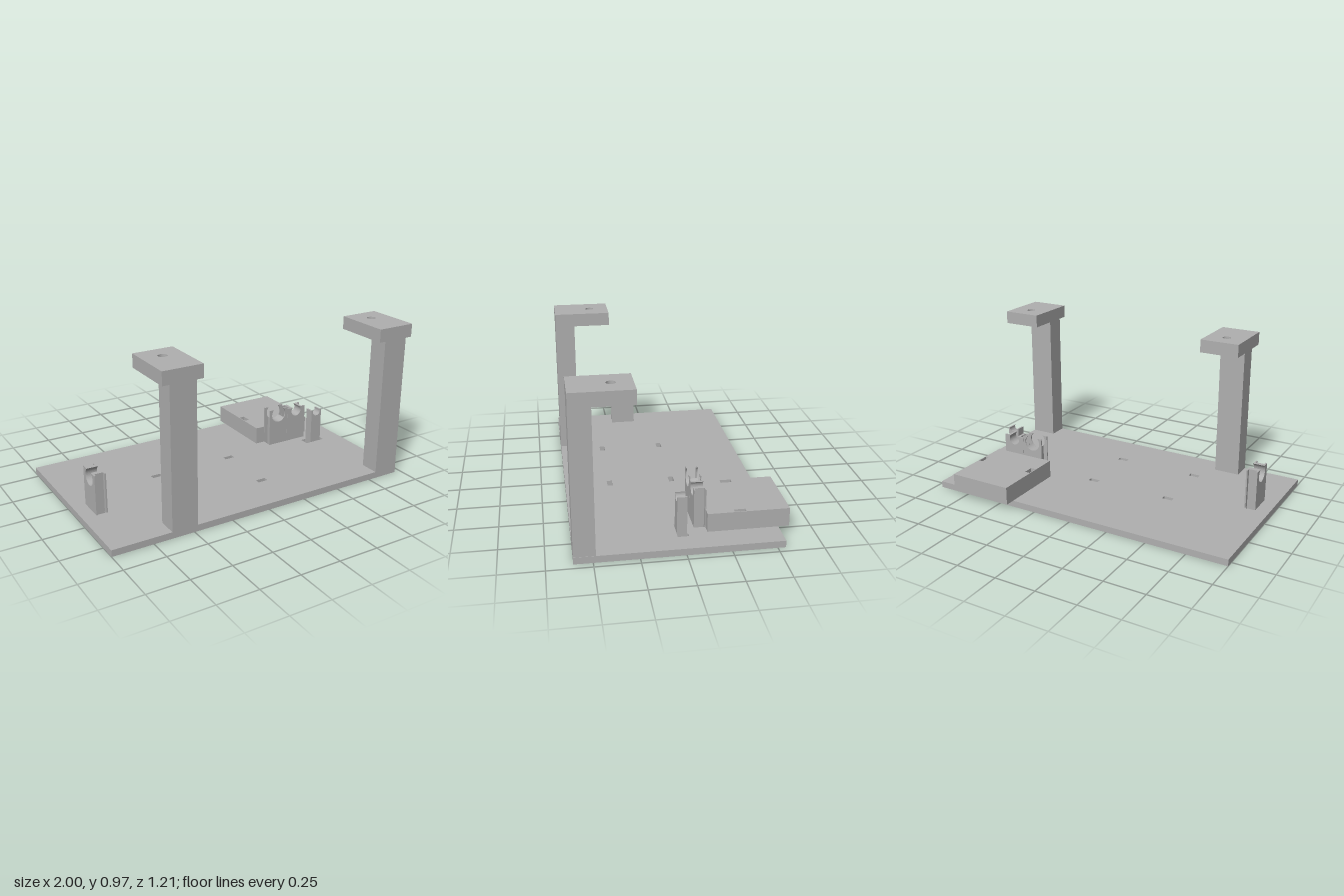
import * as THREE from 'three';

const grey = new THREE.MeshStandardMaterial({ color: 0xb0b0b0 });
grey.name = 'plastic grey';

function add(parent, name, geometry) {
  const mesh = new THREE.Mesh(geometry, grey);
  mesh.name = name;
  parent.add(mesh);
  return mesh;
}

// Rectangle [x0, x1, z0, z1] traced in plan
function trace(path, [x0, x1, z0, z1]) {
  path.moveTo(x0, -z0);
  path.lineTo(x0, -z1);
  path.lineTo(x1, -z1);
  path.lineTo(x1, -z0);
  path.closePath();
  return path;
}

// Horizontal plate between two heights with rectangular slots and round holes
function plate(rect, y0, y1, slots = [], rounds = []) {
  const shape = trace(new THREE.Shape(), rect);
  for (const s of slots) shape.holes.push(trace(new THREE.Path(), s));
  for (const [x, z, r] of rounds) {
    shape.holes.push(new THREE.Path().absarc(x, -z, r, 0, Math.PI * 2));
  }
  const g = new THREE.ExtrudeGeometry(shape, { depth: y1 - y0, bevelEnabled: false, curveSegments: 16 });
  return g.rotateX(-Math.PI / 2).translate(0, y0, 0);
}

// Upright slab with a round cradle that is open at the top
function cradle(w, top, cy, r, z0, z1) {
  const base = 0.04;
  const narrow = w < r;
  const start = narrow ? -Math.acos(w / r) : Math.asin((top - cy) / r);
  const shape = new THREE.Shape();
  shape.moveTo(-w, base);
  shape.lineTo(w, base);
  if (!narrow) shape.lineTo(w, top);
  const steps = 32;
  const sweep = -Math.PI - 2 * start;
  for (let i = 0; i <= steps; i++) {
    const a = start + sweep * i / steps;
    shape.lineTo(Math.cos(a) * r, cy + Math.sin(a) * r);
  }
  if (!narrow) shape.lineTo(-w, top);
  shape.closePath();
  return new THREE.ExtrudeGeometry(shape, { depth: z1 - z0, bevelEnabled: false }).translate(0, 0, z0);
}

// Clip: narrow core between two thin side flanges, leaving a channel at each end
function clip(name, x, z, { w, core, top, cy, r, half, flange }) {
  const group = new THREE.Group();
  group.name = name;
  group.position.set(x, 0, z);
  const inner = half - flange;
  add(group, 'clipCore', cradle(core, top, cy, r, -inner, inner));
  if (flange) {
    add(group, 'clipFlangeFront', cradle(w, top, cy, r, inner, half));
    add(group, 'clipFlangeBack', cradle(w, top, cy, r, -half, -inner));
  }
  return group;
}

export function createModel() {
  const model = new THREE.Group();
  model.name = 'mountingBracket';

  // Slots shared by the block and the base below it
  const blockSlots = [[0.406, 0.44, -0.36, -0.295], [0.772, 0.797, -0.36, -0.295]];
  const slots = [
    ...blockSlots,
    [-0.907, -0.857, 0.062, 0.086], [-0.907, -0.857, 0.198, 0.217],
    [0.464, 0.49, -0.138, -0.084], [0.575, 0.628, -0.138, -0.084], [0.72, 0.745, -0.138, -0.084],
    [0.695, 0.726, -0.033, 0.029], [0.804, 0.832, -0.033, 0.029],
  ];
  for (const x of [-0.43, 0.094]) {
    for (const z of [-0.066, 0.317]) slots.push([x, x + 0.064, z, z + 0.032]);
  }
  add(model, 'basePlate', plate([-1, 0.96, -0.545, 0.605], 0, 0.04, slots));

  // Raised block overhanging the back edge
  add(model, 'block', plate([0.401, 0.802, -0.607, -0.142], 0.04, 0.15, blockSlots));

  // Posts with drilled caps
  for (const [name, x] of [['right', -0.558], ['left', 0.878]]) {
    add(model, name + 'Post', plate([x - 0.08, x + 0.08, 0.485, 0.605], 0.04, 0.89));
    add(model, name + 'Cap', plate([x - 0.122, x + 0.122, 0.265, 0.605], 0.89, 0.97, [], [[x, 0.38, 0.026]]));
  }

  // Clips
  const side = clip('sideClip', -0.882, 0.142,
    { w: 0.079, core: 0.057, top: 0.285, cy: 0.245, r: 0.05, half: 0.035, flange: 0.009 });
  side.rotation.y = -Math.PI / 2;
  model.add(
    side,
    clip('largeClip', 0.532, -0.111,
      { w: 0.07, core: 0.043, top: 0.285, cy: 0.248, r: 0.053, half: 0.035, flange: 0.007 }),
    clip('mediumClip', 0.674, -0.111,
      { w: 0.071, core: 0.046, top: 0.27, cy: 0.246, r: 0.037, half: 0.035, flange: 0.007 }),
    clip('smallClip', 0.765, 0,
      { w: 0.039, core: 0.039, top: 0.265, cy: 0.257, r: 0.029, half: 0.028, flange: 0 }),
  );

  return model;
}
